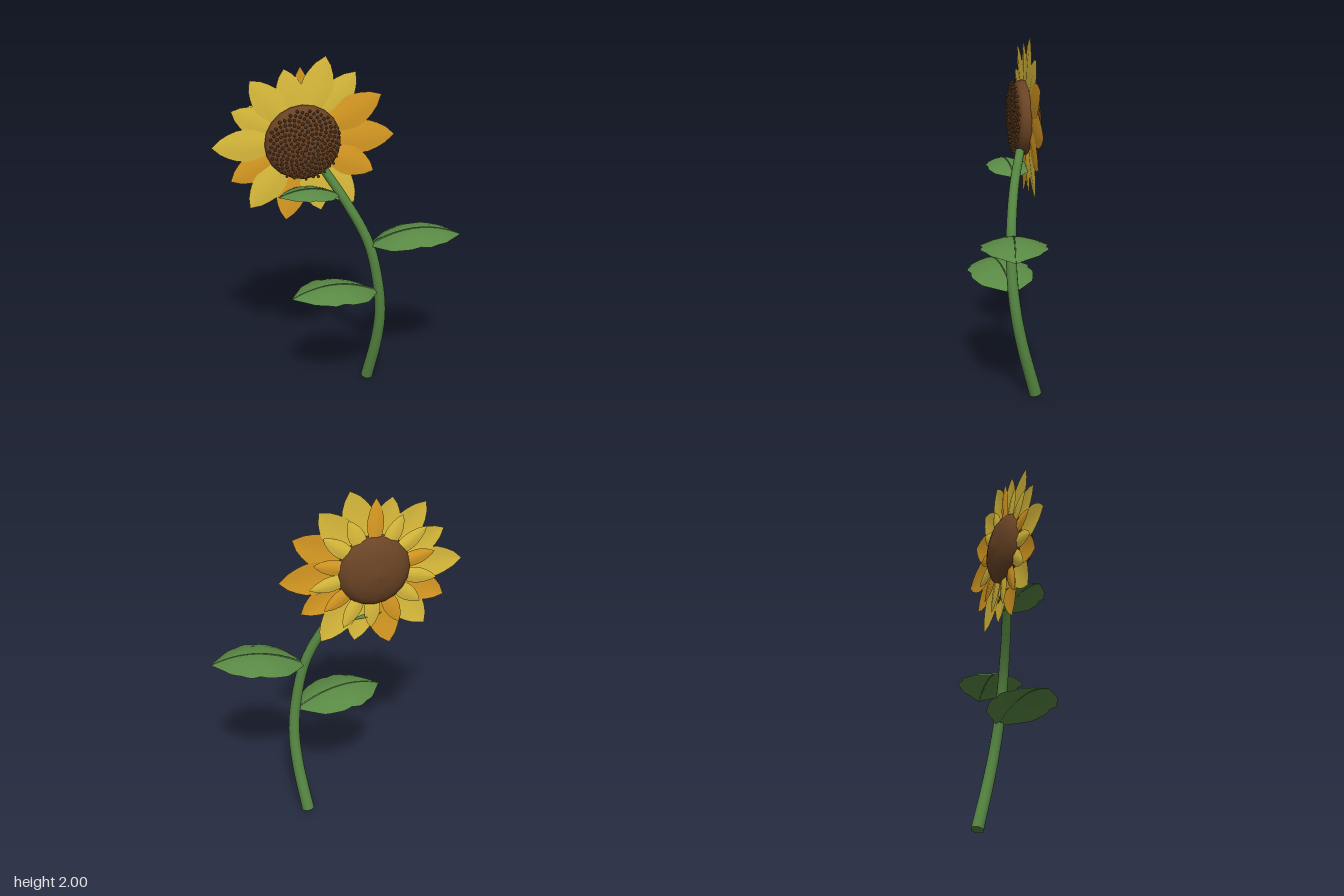
import * as THREE from 'three';
import { mergeGeometries } from 'three/addons/utils/BufferGeometryUtils.js';

const V = (x, y, z) => new THREE.Vector3(x, y, z);
const mat = (name, color, side = THREE.FrontSide) => {
  const m = new THREE.MeshStandardMaterial({ color, side });
  m.name = name;
  return m;
};

// Linear lookup in an evenly spaced list, t in 0..1
const sample = (list, t) => {
  const f = t * (list.length - 1), i = Math.min(Math.floor(f), list.length - 2);
  return THREE.MathUtils.lerp(list[i], list[i + 1], f - i);
};

// Sheet of across x along cells, each vertex placed by place(v in -1..1, t in 0..1)
function blade(across, along, place) {
  const geo = new THREE.PlaneGeometry(1, 1, across, along);
  const p = geo.attributes.position;
  for (let i = 0; i < p.count; i++) {
    const q = place(p.getX(i) * 2, p.getY(i) + 0.5);
    p.setXYZ(i, q.x, q.y, q.z);
  }
  geo.computeVertexNormals();
  return geo;
}

// Tube whose radius shrinks from r0 to r1
function taperedTube(curve, segments, sides, r0, r1) {
  const geo = new THREE.TubeGeometry(curve, segments, r0, sides);
  const p = geo.attributes.position, q = V(0, 0, 0);
  for (let i = 0; i < p.count; i++) {
    const u = Math.floor(i / (sides + 1)) / segments;
    const c = curve.getPointAt(u);
    q.fromBufferAttribute(p, i).sub(c).multiplyScalar(1 + (r1 / r0 - 1) * u).add(c);
    p.setXYZ(i, q.x, q.y, q.z);
  }
  return geo;
}

export function createModel() {
  const group = new THREE.Group();
  const green = mat('stem green', 0x568742);
  const leafGreen = mat('leaf green', 0x5a8a45, THREE.DoubleSide);
  const yellow = mat('petal yellow', 0xe2c23e, THREE.DoubleSide);
  const orange = mat('petal orange', 0xdf9f24, THREE.DoubleSide);
  const brown = mat('disc brown', 0x6b4425);
  const seedBrown = mat('seed brown', 0x7a4d28);
  const add = (name, geo, material, parent = group) => {
    const mesh = new THREE.Mesh(geo, material);
    mesh.name = name;
    parent.add(mesh);
    return mesh;
  };

  // Stem with end caps
  const path = new THREE.CatmullRomCurve3([
    V(0.19, 0.01, -0.132), V(0.228, 0.3, -0.055), V(0.235, 0.5, -0.015), V(0.213, 0.7, 0.005),
    V(0.155, 0.95, 0.003), V(0.03, 1.2, -0.035), V(-0.075, 1.37, -0.085)]);
  add('stem', taperedTube(path, 28, 12, 0.036, 0.025), green);
  for (const [u, r, s] of [[0, 0.036, -1], [1, 0.025, 1]]) {
    const cap = add('stemEnd', new THREE.CircleGeometry(r, 12), green);
    cap.position.copy(path.getPointAt(u));
    cap.quaternion.setFromUnitVectors(V(0, 0, 1), path.getTangentAt(u).multiplyScalar(s));
  }

  // Leaves: arched midrib, halves drooping to a lightly toothed edge
  const leafWidth = [0.08, 0.48, 0.8, 0.95, 1, 0.97, 1, 0.86, 0.68, 0.36, 0];
  function leaf(name, base, peak, tip, half, droop) {
    const g = new THREE.Group();
    g.name = name;
    const mid = new THREE.QuadraticBezierCurve3(base, peak, tip);
    const side = V(0, 1, 0).cross(tip.clone().sub(base)).setY(0).normalize();
    add('leafBlade', blade(6, 20, (v, t) => {
      const w = sample(leafWidth, t);
      const tooth = 1 + (Math.round(t * 20) % 4 === 2 ? -0.025 : 0.01) * Math.abs(v);
      const q = mid.getPoint(t).addScaledVector(side, v * w * half * tooth);
      q.y -= droop * w * v * v;
      return q;
    }), leafGreen, g);
    add('midrib', taperedTube(mid, 14, 6, 0.006, 0.002), green, g);
    group.add(g);
  }
  leaf('rightSideLeaf', V(0.165, 0.93, 0), V(0.43, 1.09, 0.03), V(0.68, 0.97, 0.065), 0.178, 0.045);
  leaf('lowerLeaf', V(0.21, 0.64, 0), V(-0.06, 0.785, 0.035), V(-0.3, 0.67, 0.068), 0.178, 0.045);
  leaf('upperLeaf', V(0, 1.235, -0.045), V(-0.17, 1.33, -0.03), V(-0.35, 1.26, -0.008), 0.118, 0.03);

  // Flower head
  const head = new THREE.Group();
  head.name = 'flowerHead';
  head.position.set(-0.187, 1.53, 0);
  group.add(head);

  // Central disc: domed back, blunt front
  const profile = [[0, -0.218], [0.09, -0.208], [0.155, -0.187], [0.195, -0.157], [0.213, -0.12],
    [0.205, -0.09], [0.18, -0.072], [0.1, -0.057], [0, -0.052]].map(([r, z]) => new THREE.Vector2(r, z));
  add('disc', new THREE.LatheGeometry(profile, 20).rotateX(Math.PI / 2), brown, head);

  // Seeds in a sunflower spiral
  const seeds = [];
  const count = 190;
  for (let i = 0; i < count; i++) {
    const r = 0.202 * Math.sqrt((i + 0.5) / count), a = i * 2.39996;
    const s = new THREE.IcosahedronGeometry(0.0085 + 0.002 * ((i * 7) % 5) / 4, 0);
    s.rotateZ(a).translate(r * Math.cos(a), r * Math.sin(a), -0.045 - 0.45 * r * r);
    seeds.push(s);
  }
  add('seeds', mergeGeometries(seeds), seedBrown, head);

  // Petals: a tapered sheet with a slight fold, rotated about the disc
  const petalWidth = [0.25, 0.36, 0.52, 0.75, 0.93, 1, 0.95, 0.76, 0.48, 0];
  function petal(name, degrees, tip, half, z, fold, material) {
    const geo = blade(4, 9, (v, t) => V(
      THREE.MathUtils.lerp(0.08, tip, t),
      -v * half * sample(petalWidth, t),
      z + fold * (1 - Math.abs(v)) * Math.sin(Math.PI * t)));
    add(name, geo, material, head).rotation.z = THREE.MathUtils.degToRad(degrees);
  }
  // Outer ring: angle, tip radius, 1 = orange
  const outer = [[0, 0.523, 1], [28, 0.505, 1], [51, 0.48, 0], [74, 0.49, 0], [103, 0.425, 0],
    [128, 0.46, 0], [153, 0.435, 0], [180, 0.5, 0], [207, 0.45, 1], [231, 0.475, 0],
    [258, 0.47, 1], [284, 0.43, 0], [307, 0.49, 0], [333, 0.455, 1]];
  outer.forEach(([a, tip, o], i) =>
    petal('outerPetal', a, tip, tip * 0.185, -0.138 + (i % 2) * 0.004, 0.008, o ? orange : yellow));
  // Small ring behind
  for (let i = 0; i < 14; i++) {
    const top = i === 3;
    petal('innerPetal', 13 + i * 25.9, top ? 0.42 : 0.345 + 0.02 * (i % 2), 0.046,
      top ? -0.142 : -0.145, -0.01, i % 3 === 0 ? orange : yellow);
  }
  return group;
}
